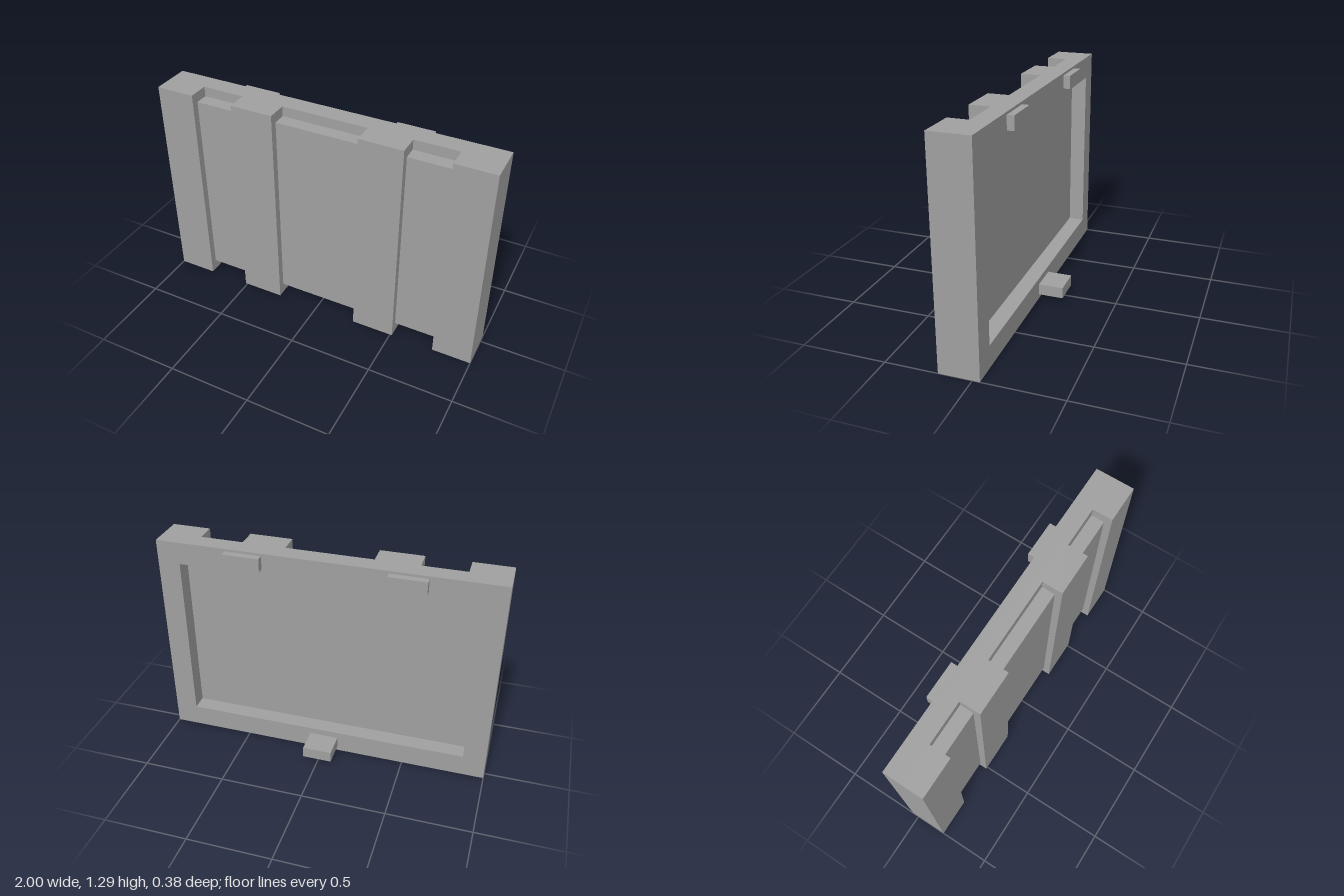
import * as THREE from 'three';

const H = 1.295;                       // overall height
const BACK = -0.042, WEB = 0.07, FRONT = 0.192;

export function createModel() {
  const model = new THREE.Group();
  model.name = 'ribbedPanel';
  const grey = new THREE.MeshStandardMaterial({ color: 0xa0a0a0 });
  grey.name = 'plain grey';

  // Box given by its limits on each axis
  const box = (name, x0, x1, y0, y1, z0, z1) => {
    const mesh = new THREE.Mesh(new THREE.BoxGeometry(x1 - x0, y1 - y0, z1 - z0), grey);
    mesh.position.set((x0 + x1) / 2, (y0 + y1) / 2, (z0 + z1) / 2);
    mesh.name = name;
    model.add(mesh);
  };

  // Back frame around a rectangular recess
  const inset = 0.134;
  const outline = new THREE.Shape([
    new THREE.Vector2(-1, 0), new THREE.Vector2(1, 0),
    new THREE.Vector2(1, H), new THREE.Vector2(-1, H),
  ]);
  outline.holes.push(new THREE.Path([
    new THREE.Vector2(-1 + inset, inset), new THREE.Vector2(-1 + inset, H - inset),
    new THREE.Vector2(1 - inset, H - inset), new THREE.Vector2(1 - inset, inset),
  ]));
  const frame = new THREE.Mesh(
    new THREE.ExtrudeGeometry(outline, { depth: WEB - BACK, bevelEnabled: false }), grey);
  frame.position.z = BACK;
  frame.name = 'backFrame';
  model.add(frame);

  // Thin wall closing the recess
  box('recessWall', -1 + inset, 1 - inset, inset, H - inset, 0.054, WEB);

  // Raised upright ribs on the front
  for (const [x0, x1] of [[-1, -0.768], [-0.512, -0.256], [0.256, 0.512], [0.768, 1]])
    box('frontRib', x0, x1, 0, H, WEB, FRONT);

  // Panels between the ribs, stopping short of the top and bottom
  for (const [x0, x1] of [[-0.768, -0.512], [-0.256, 0.256], [0.512, 0.768]])
    box('frontPanel', x0, x1, 0.064, H - 0.06, WEB, 0.149);

  // Two upper lugs and one deeper lower lug on the back
  for (const x of [-0.47, 0.47])
    box('upperLug', x - 0.109, x + 0.109, 1.2, 1.28, -0.083, BACK);
  box('lowerLug', -0.088, 0.088, 0.027, 0.095, -0.192, BACK);

  return model;
}
